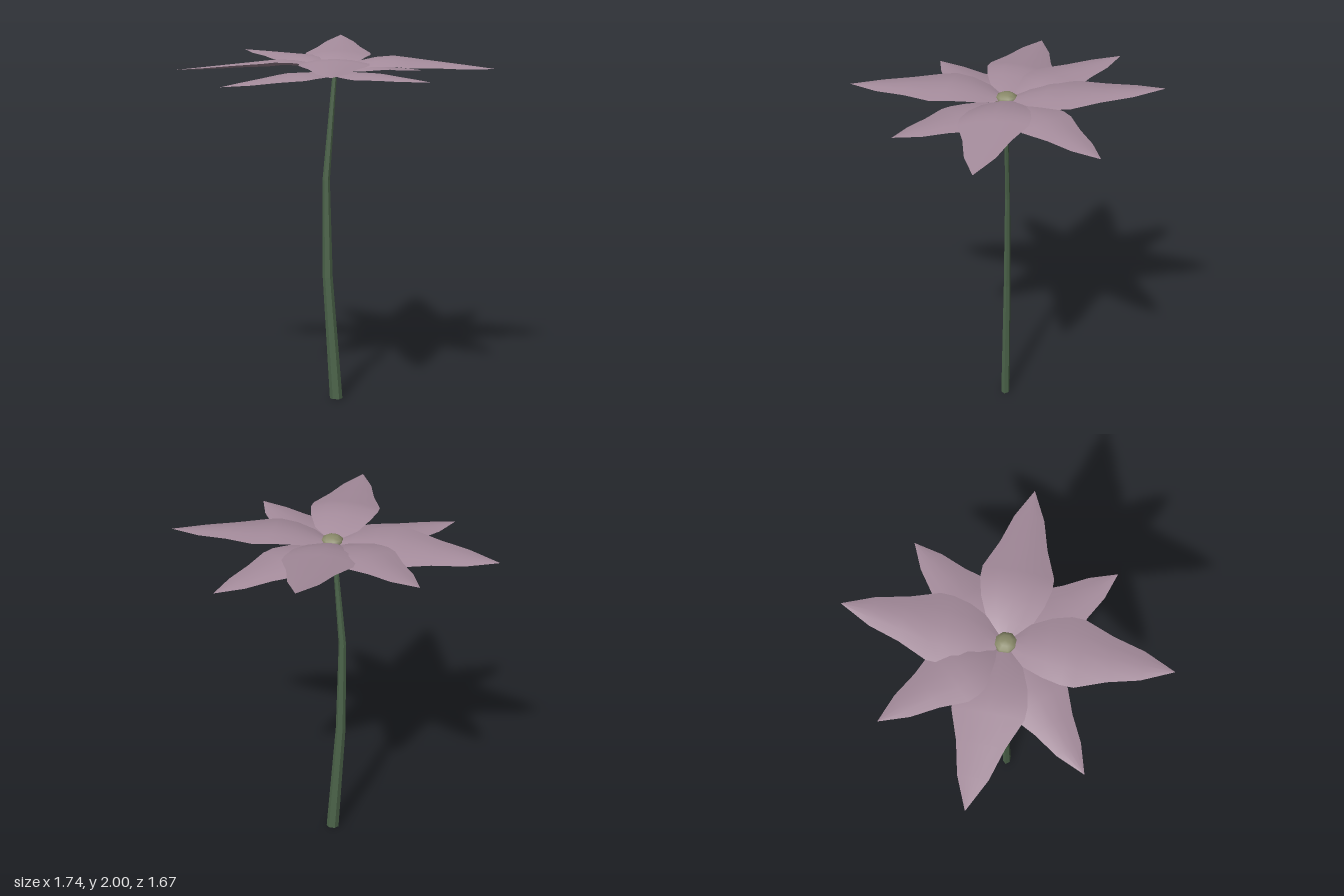
import * as THREE from 'three';

const petalMat = new THREE.MeshStandardMaterial({ color: 0xa58c9c, side: THREE.DoubleSide });
const stemMat = new THREE.MeshStandardMaterial({ color: 0x4c644a, flatShading: true });
const discMat = new THREE.MeshStandardMaterial({ color: 0x8a8a6a });

// Petal outline from base to tip: [fraction of length, half width]
const OUTLINE = [[0.03, 0.03], [0.13, 0.115], [0.25, 0.16], [0.36, 0.183], [0.44, 0.183], [0.62, 0.122], [0.81, 0.078], [1, 0.001]];
const CZ = -0.02; // flower axis in z

// One thin petal running from the axis to its tip; ys = ridge height at base, middle and tip
function makePetal(name, [tx, tz], ys, widthScale, roll) {
  const dx = tx, dz = tz - CZ, length = Math.hypot(dx, dz);
  const rows = OUTLINE.length - 1, cols = 4;
  const geo = new THREE.PlaneGeometry(1, 1, cols, rows).rotateX(-Math.PI / 2);
  const pos = geo.attributes.position;
  for (let i = 0; i < pos.count; i++) {
    const u = pos.getX(i) * 2; // -1..1 across
    const [t, w] = OUTLINE[rows - Math.floor(i / (cols + 1))];
    const half = w * widthScale;
    const ridge = t < 0.36
      ? THREE.MathUtils.lerp(ys[0], ys[1], Math.sin((t / 0.36) * Math.PI / 2))
      : THREE.MathUtils.lerp(ys[1], ys[2], (t - 0.36) / 0.64);
    const slope = half / 0.183;
    pos.setXYZ(i, u * half, ridge - 0.025 * u * u * slope + roll * u * slope, -t * length);
  }
  geo.computeVertexNormals();
  const petal = new THREE.Mesh(geo, petalMat);
  petal.name = name;
  petal.rotation.y = Math.atan2(-dx, -dz);
  petal.position.z = CZ;
  return petal;
}

// Bent, tapering stem
function makeStem() {
  const rings = [ // y, centre x, radius
    [0, 0.002, 0.033], [0.7, -0.045, 0.026], [1.25, -0.053, 0.019], [1.86, -0.004, 0.011],
  ];
  const geo = new THREE.CylinderGeometry(1, 1, 3, 6, 3);
  geo.rotateY(Math.PI / 6);
  const pos = geo.attributes.position;
  for (let i = 0; i < pos.count; i++) {
    const [y, cx, r] = rings[Math.round(pos.getY(i) + 1.5)];
    pos.setXYZ(i, cx + pos.getX(i) * r * 1.08, y, -0.012 + pos.getZ(i) * r * 0.75);
  }
  geo.computeVertexNormals();
  const stem = new THREE.Mesh(geo, stemMat);
  stem.name = 'stem';
  return stem;
}

export function createModel() {
  const flower = new THREE.Group();
  flower.name = 'flower';
  flower.add(makeStem());

  // Flower centre
  const disc = new THREE.Mesh(new THREE.SphereGeometry(0.062, 8, 6), discMat);
  disc.name = 'flowerCentre';
  disc.rotation.y = Math.PI / 8;
  disc.scale.y = 0.6;
  disc.position.set(0.002, 1.868, CZ + 0.003);
  flower.add(disc);

  const petals = new THREE.Group();
  petals.name = 'petals';
  petals.add(
    // Upper ring of long petals
    makePetal('frontPetal', [0.003, 0.83], [1.865, 1.935, 1.88], 1, 0),
    makePetal('backPetal', [0.003, -0.84], [1.865, 1.94, 2.0], 1, 0),
    makePetal('leftPetal', [0.867, -0.03], [1.865, 1.925, 1.86], 1, -0.015),
    makePetal('rightPetal', [-0.875, -0.045], [1.865, 1.91, 1.85], 1, -0.02),
    // Lower ring of short diagonal petals
    makePetal('backLeftPetal', [0.482, -0.585], [1.845, 1.87, 1.81], 0.88, 0),
    makePetal('backRightPetal', [-0.54, -0.54], [1.845, 1.925, 1.932], 0.88, 0),
    makePetal('frontLeftPetal', [0.495, 0.468], [1.845, 1.85, 1.83], 0.88, 0),
    makePetal('frontRightPetal', [-0.575, 0.482], [1.845, 1.85, 1.803], 0.88, 0),
  );
  flower.add(petals);
  return flower;
}
